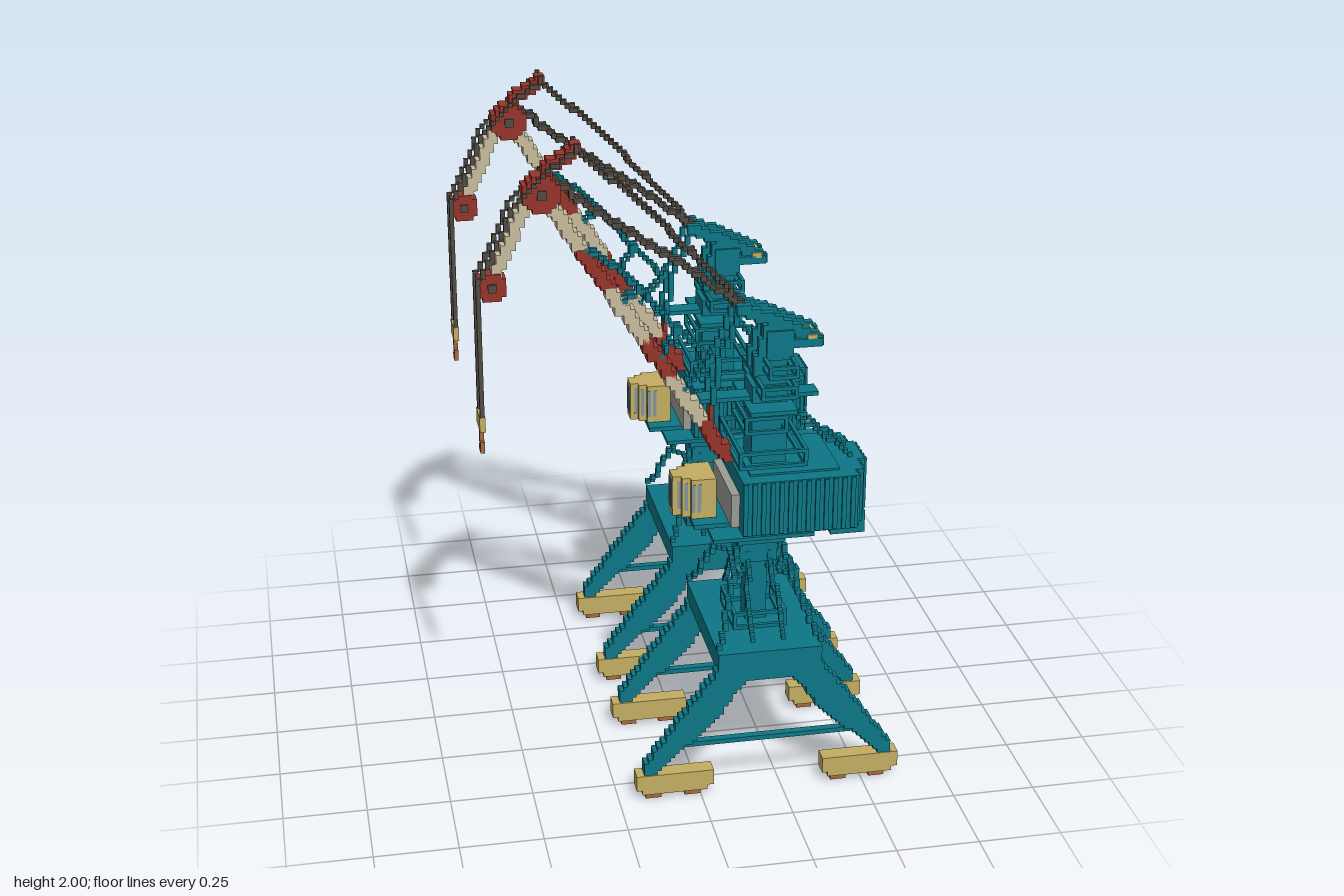
import * as THREE from 'three';
import { mergeGeometries } from 'three/addons/utils/BufferGeometryUtils.js';

const V = 0.0134; // voxel edge
const mat = (c) => new THREE.MeshStandardMaterial({ color: c, flatShading: true });
const TEAL = mat(0x0d7685), YELLOW = mat(0xc2ad62), RED = mat(0x96342a), DARK = mat(0x504b43);
const CREAM = mat(0xc6bb9d), RUST = mat(0xa8683a), GREY = mat(0x9b9b95), GLASS = mat(0x82949c);

// box from min and max corners
function box(x0, x1, y0, y1, z0, z1) {
  const g = new THREE.BoxGeometry(x1 - x0, y1 - y0, z1 - z0);
  return g.translate((x0 + x1) / 2, (y0 + y1) / 2, (z0 + z1) / 2);
}

// stepped beam through points, one snapped block per voxel step
function beam(points, w = V, d = w) {
  const out = [], seen = new Set();
  const snap = (v) => Math.round(v / V) * V;
  for (let i = 0; i + 1 < points.length; i++) {
    const a = new THREE.Vector3(...points[i]), b = new THREE.Vector3(...points[i + 1]);
    const s = b.clone().sub(a);
    const n = Math.ceil(Math.max(Math.abs(s.x), Math.abs(s.y), Math.abs(s.z)) / V);
    for (let k = 0; k <= n; k++) {
      const p = a.clone().addScaledVector(s, k / n);
      const x = snap(p.x), y = snap(p.y), z = s.z ? snap(p.z) : p.z;
      const key = [x, y, z].map((v) => v.toFixed(3)).join();
      if (seen.has(key)) continue;
      seen.add(key);
      out.push(box(x - w / 2, x + w / 2, y - w / 2, y + w / 2, z - d / 2, z + d / 2));
    }
  }
  return out;
}

// voxel disc with its axis along z
function disc(cx, cy, r, halfZ) {
  const out = [];
  for (let y = -r; y < r - 1e-6; y += V) {
    const h = Math.round(Math.sqrt(Math.max(0, r * r - (y + V / 2) ** 2)) / V) * V;
    if (h > 0) out.push(box(cx - h, cx + h, cy + y, cy + y + V, -halfZ, halfZ));
  }
  return out;
}

// rectangular railing with corner posts
function railing(x0, x1, y0, y1, hz, t = 0.011) {
  const out = [];
  for (const y of [y0, y1 - t]) {
    for (const s of [-1, 1]) out.push(box(x0, x1, y, y + t, s * hz - t / 2, s * hz + t / 2));
    for (const x of [x0, x1 - t]) out.push(box(x, x + t, y, y + t, -hz, hz));
  }
  for (const s of [-1, 1]) for (const x of [x0, x1 - t])
    out.push(box(x, x + t, y0, y1, s * hz - t / 2, s * hz + t / 2));
  return out;
}

function buildCrane() {
  const crane = new THREE.Group();
  crane.name = 'harbourCrane';
  const upper = new THREE.Group();
  upper.name = 'slewingUpperPart';
  upper.position.z = 0.007;
  crane.add(upper);
  const add = (name, m, geos, parent = crane) => {
    const mesh = new THREE.Mesh(mergeGeometries(geos), m);
    mesh.name = name;
    parent.add(mesh);
  };
  const CX = 0.207; // slewing axis
  const sides = [-1, 1];

  // portal: deck, stepped legs, tie beams
  add('portalDeck', TEAL, [box(0.05, 0.365, 0.41, 0.475, -0.24, 0.24)]);
  const legs = [], ties = [], bogies = [], wheels = [];
  for (const s of sides) {
    const z0 = s > 0 ? 0.2 : -0.24, z1 = z0 + 0.04;
    for (let y = 0.085; y < 0.41; y += V) {
      const t = (y - 0.085) / 0.325;
      const outer = CX - Math.min(0.385, 0.4 - 0.24 * t);
      const inner = Math.min(outer + 0.05 + 0.065 * Math.min(1, t * 2.2), CX - 0.06);
      const a = Math.round(outer / V) * V, b = Math.round(inner / V) * V;
      if (y > 0.372) legs.push(box(a, 2 * CX - a, y, y + V, z0, z1));
      else legs.push(box(a, b, y, y + V, z0, z1), box(2 * CX - b, 2 * CX - a, y, y + V, z0, z1));
    }
    ties.push(box(-0.08, 0.49, 0.167, 0.182, s * 0.22 - 0.012, s * 0.22 + 0.012));
    // bogies with wheels
    for (const m of sides) {
      const c = CX + m * 0.287, zc = s * 0.218;
      bogies.push(box(c - 0.118, c + 0.118, 0.035, 0.085, zc - 0.025, zc + 0.025));
      bogies.push(box(c - 0.1, c + 0.1, 0.018, 0.036, zc - 0.022, zc + 0.022));
      for (const w of [-0.065, 0.055]) wheels.push(box(c + w - 0.024, c + w + 0.024, 0, 0.02, zc - 0.013, zc + 0.013));
    }
  }
  add('portalLegs', TEAL, legs);
  add('tieBeams', TEAL, ties);
  add('bogies', YELLOW, bogies);
  add('wheels', RUST, wheels);

  // pillar with braces and slewing ring
  const pillar = [box(0.175, 0.24, 0.47, 0.84, -0.032, 0.032), box(0.15, 0.265, 0.68, 0.75, -0.058, 0.058),
    box(0.14, 0.285, 0.75, 0.83, -0.08, 0.08), box(0.05, 0.355, 0.797, 0.809, -0.15, 0.15)];
  for (const s of sides) for (const m of sides) {
    pillar.push(...beam([[CX + m * 0.15, 0.49, s * 0.225], [CX + m * 0.06, 0.76, s * 0.06]], 0.016));
    pillar.push(...beam([[CX + m * 0.09, 0.66, s * 0.12], [CX + m * 0.03, 0.66, s * 0.03]]));
    pillar.push(...beam([[CX + m * 0.05, 0.49, s * 0.2], [CX + m * 0.035, 0.71, s * 0.05]]));
  }
  add('pillar', TEAL, pillar);
  add('deckRailing', TEAL, railing(0.125, 0.29, 0.475, 0.53, 0.09));

  // ribbed machine house with stepped rear
  const house = [box(0.13, 0.475, 0.83, 1.0, -0.178, 0.178), box(0.47, 0.5, 0.83, 1.0, -0.135, 0.135),
    box(0.49, 0.522, 0.83, 1.0, -0.065, 0.065), box(0.42, 0.525, 0.765, 0.835, -0.08, 0.08),
    box(0.0, 0.14, 0.828, 0.842, -0.1, 0.1), box(0.16, 0.43, 0.998, 1.006, -0.13, 0.13)];
  for (let x = 0.13; x < 0.47; x += 2 * V)
    for (const s of sides) house.push(box(x, x + V, 0.835, 0.998, s * 0.18 - 0.005, s * 0.18 + 0.005));
  for (let z = 0; z < 0.175; z += 2 * V) {
    const xr = z < 0.06 ? 0.522 : z < 0.13 ? 0.5 : 0.475;
    for (const s of sides) house.push(box(xr - 0.004, xr + 0.008, 0.835, 0.998, s * z - V / 2, s * z + V / 2));
  }
  add('machineHouse', TEAL, house, upper);
  add('frontPanel', GREY, [box(0.105, 0.131, 0.84, 0.945, -0.13, 0.13)], upper);

  // driver cab with a narrowing nose and barred windows
  add('cab', YELLOW, [box(0.0, 0.075, 0.845, 0.97, -0.062, 0.062), box(-0.025, 0.0, 0.845, 0.97, -0.045, 0.045),
    box(-0.05, -0.025, 0.845, 0.97, -0.028, 0.028)], upper);
  const panes = [];
  for (let i = 0; i < 4; i++) {
    const x = -0.036 + i * 0.018, h = x < -0.025 ? 0.029 : x < 0 ? 0.046 : 0.063;
    panes.push(box(x, x + 0.011, 0.865, 0.955, -h, h));
    const z = -0.026 + i * 0.0135;
    panes.push(box(-0.052, -0.045, 0.865, 0.955, z, z + 0.009));
  }
  add('cabWindows', GLASS, panes, upper);

  // tower, its head and the slanted struts
  const tower = [box(0.18, 0.285, 1.0, 1.25, -0.055, 0.055), box(0.195, 0.285, 1.25, 1.33, -0.045, 0.045),
    box(0.22, 0.3, 1.33, 1.42, -0.06, 0.06), box(0.03, 0.385, 1.198, 1.211, -0.03, 0.03),
    box(0.16, 0.3, 1.185, 1.198, -0.125, 0.125), box(0.29, 0.385, 1.365, 1.39, -0.06, 0.06)];
  for (const s of sides) {
    const z = s * 0.04;
    tower.push(...beam([[0.15, 1.49, z], [0.24, 1.45, z], [0.37, 1.38, z]], 0.03, 0.025));
    tower.push(...beam([[0.15, 1.49, z], [0.09, 1.36, z], [0.067, 1.21, z]], 0.016));
    tower.push(...beam([[0.2, 1.3, z], [0.24, 1.45, z]], 0.035, 0.025));
    tower.push(...beam([[0.27, 1.18, z], [0.48, 1.01, z]]));
  }
  add('tower', TEAL, tower, upper);
  add('towerRailings', TEAL, [...railing(0.125, 0.33, 1.025, 1.08, 0.135), ...railing(0.15, 0.28, 1.115, 1.17, 0.09),
    ...railing(0.19, 0.3, 1.235, 1.275, 0.125), ...railing(0.21, 0.3, 1.3, 1.34, 0.13)], upper);
  add('headLamp', YELLOW, [box(0.34, 0.37, 1.385, 1.402, -0.06, 0.06)], upper);

  // banded boom
  const foot = [0.12, 1.01], tip = [-0.42, 1.86];
  const at = (t) => [foot[0] + (tip[0] - foot[0]) * t, foot[1] + (tip[1] - foot[1]) * t, 0];
  const bands = [0, 0.14, 0.32, 0.46, 0.65, 0.79, 1];
  bands.slice(1).forEach((t, i) =>
    add('boomBand' + (i + 1), i % 2 ? CREAM : RED, beam([at(bands[i] + 0.006), at(t - 0.006)], 0.032, 0.046), upper));
  add('boomLink', RED, [box(0.06, 0.073, 1.06, 1.2, -0.02, 0.02)], upper);

  // teal stay above the boom with cross pieces
  const stay = [];
  for (const s of sides) {
    const z = s * 0.017;
    stay.push(...beam([[-0.3, 1.69, z], [-0.18, 1.6, z], [-0.05, 1.45, z], [0.07, 1.32, z]]));
    stay.push(...beam([[-0.19, 1.53, z], [-0.13, 1.56, z]]), ...beam([[-0.02, 1.24, z], [0.07, 1.34, z]]));
    stay.push(...beam([[-0.08, 1.36, z], [-0.03, 1.43, z]]));
  }
  add('boomStay', TEAL, stay, upper);

  // jib with head hub and tip pulley
  add('headHub', RED, [...disc(-0.42, 1.86, 0.0536, 0.032), ...beam([[-0.42, 1.87, 0], [-0.4, 1.93, 0], [-0.315, 1.985, 0]], 0.03, 0.046)], upper);
  add('jibArm', CREAM, beam([[-0.55, 1.64, 0], [-0.46, 1.83, 0]], 0.03, 0.044), upper);
  add('tipPulley', RED, disc(-0.565, 1.595, 0.0402, 0.028), upper);
  add('hubPins', DARK, [box(-0.433, -0.407, 1.847, 1.873, -0.037, 0.037), box(-0.577, -0.553, 1.583, 1.607, -0.033, 0.033)], upper);

  // dark rods and hoist ropes
  const rods = [];
  for (const s of sides) {
    rods.push(...beam([[-0.6, 1.62, s * 0.033], [-0.545, 1.73, s * 0.033], [-0.5, 1.83, s * 0.033], [-0.42, 1.92, s * 0.033], [-0.315, 1.99, s * 0.033]]));
    rods.push(...beam([[-0.315, 1.985, s * 0.03], [-0.06, 1.73, s * 0.03]]));
    rods.push(...beam([[-0.06, 1.73, s * 0.017], [0.03, 1.63, s * 0.017], [0.15, 1.5, s * 0.017]]));
    rods.push(...beam([[-0.38, 1.89, s * 0.017], [-0.2, 1.75, s * 0.017], [0.0, 1.61, s * 0.017], [0.28, 1.39, s * 0.017]], 0.016));
    rods.push(box(-0.612, -0.599, 1.2, 1.63, s * 0.033 - V / 2, s * 0.033 + V / 2));
  }
  add('rodsAndRopes', DARK, rods, upper);

  // hook block
  add('hookBlock', YELLOW, [box(-0.614, -0.597, 1.165, 1.21, -0.042, 0.042)], upper);
  add('hook', RUST, [box(-0.612, -0.599, 1.11, 1.17, -0.008, 0.008), box(-0.612, -0.599, 1.09, 1.105, -0.02, 0.02),
    box(-0.612, -0.599, 1.1, 1.125, 0.01, 0.022)], upper);
  return crane;
}

export function createModel() {
  const model = new THREE.Group();
  model.name = 'twinHarbourCranes';
  for (const z of [-0.3625, 0.3625]) {
    const crane = buildCrane();
    crane.position.z = z;
    model.add(crane);
  }
  return model;
}
